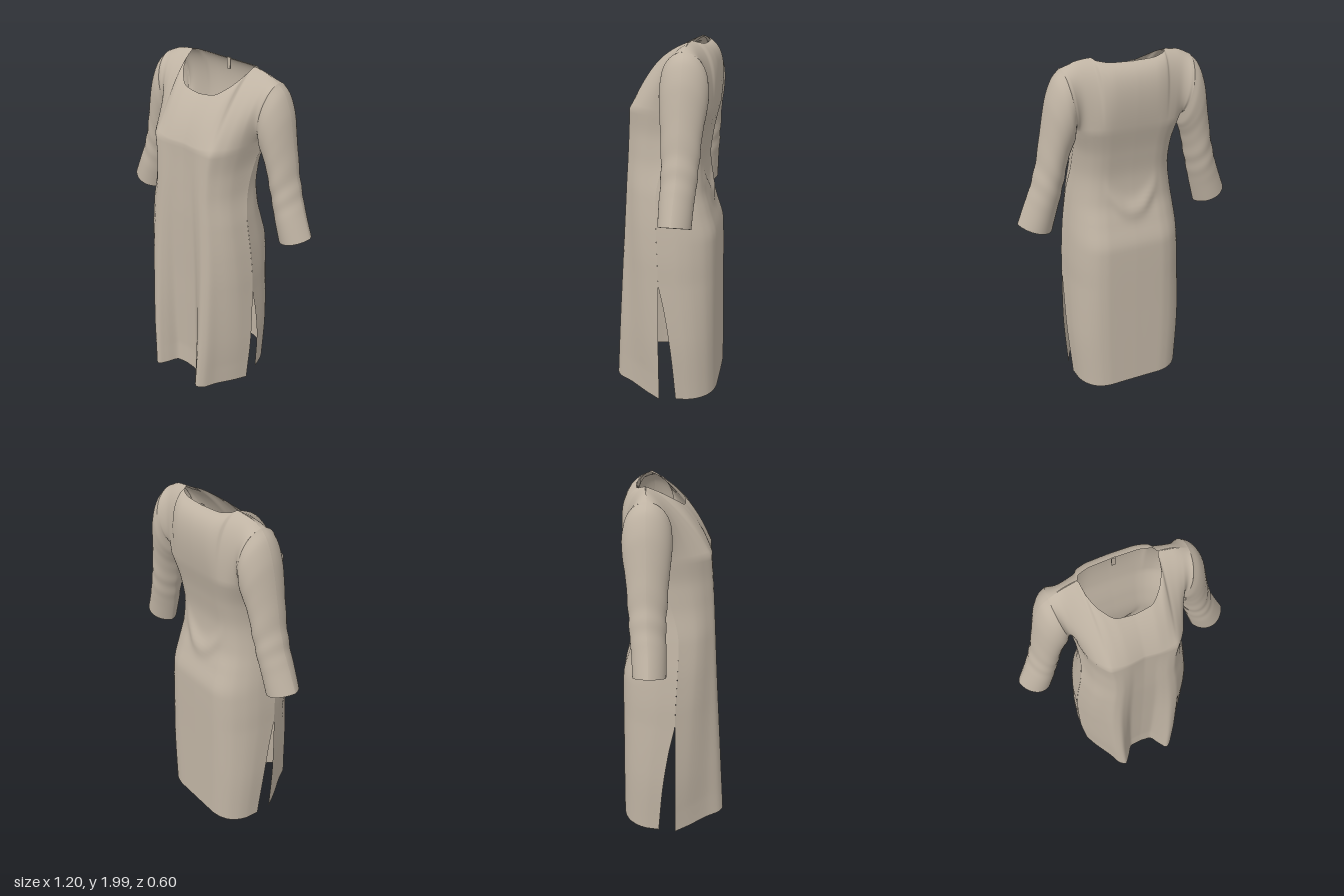
import * as THREE from 'three';

const fabric = new THREE.MeshStandardMaterial({ color: 0xbfb3a3, side: THREE.DoubleSide });
fabric.name = 'beige fabric';

// Smooth, overshoot-free interpolation through [key, value] pairs
function spline(keys) {
  const n = keys.length;
  const d = keys.slice(1).map((k, i) => (k[1] - keys[i][1]) / (k[0] - keys[i][0]));
  const m = keys.map((k, i) => {
    if (i === 0) return d[0];
    if (i === n - 1) return d[n - 2];
    return d[i - 1] * d[i] <= 0 ? 0 : (2 * d[i - 1] * d[i]) / (d[i - 1] + d[i]);
  });
  return (x) => {
    if (x <= keys[0][0]) return keys[0][1];
    if (x >= keys[n - 1][0]) return keys[n - 1][1];
    let i = 0;
    while (x > keys[i + 1][0]) i++;
    const h = keys[i + 1][0] - keys[i][0], t = (x - keys[i][0]) / h, s = 1 - t;
    return (1 + 2 * t) * s * s * keys[i][1] + t * s * s * h * m[i]
      + t * t * (3 - 2 * t) * keys[i + 1][1] - t * t * s * h * m[i + 1];
  };
}

// Surface from point(u, v), u and v running 0..1
function surface(name, point, nu, nv, flip = false) {
  const pos = [], index = [];
  for (let j = 0; j <= nv; j++)
    for (let i = 0; i <= nu; i++) pos.push(...point(i / nu, j / nv));
  for (let j = 0; j < nv; j++)
    for (let i = 0; i < nu; i++) {
      const a = j * (nu + 1) + i, b = a + 1, c = a + nu + 1, d = c + 1;
      if (flip) index.push(a, d, b, a, c, d);
      else index.push(a, b, d, a, d, c);
    }
  const g = new THREE.BufferGeometry();
  g.setAttribute('position', new THREE.Float32BufferAttribute(pos, 3));
  g.setIndex(index);
  g.computeVertexNormals();
  const mesh = new THREE.Mesh(g, fabric);
  mesh.name = name;
  return mesh;
}

const BUST = 1.65;
const { smoothstep, lerp } = THREE.MathUtils;

// Armhole ring shared by body and sleeves
const ARM = { topX: 0.335, topY: 1.955, lowX: 0.285, lowY: BUST, z: -0.12, depth: 0.118 };

// Outlines by height
const halfWidth = spline([[0, 0.33], [0.4, 0.348], [0.8, 0.34], [1, 0.325], [1.2, 0.298], [1.4, 0.268], [1.5, 0.266], [BUST, ARM.lowX]]);
const frontZ = spline([[0, 0.3], [0.5, 0.268], [1, 0.237], [1.4, 0.215], [BUST, 0.198]]);
const backZ = spline([[0, -0.3], [0.5, -0.29], [0.95, -0.28], [1.1, -0.24], [1.22, -0.208], [1.35, -0.2], [1.5, -0.218], [BUST, -0.25]]);
const frontSeam = spline([[0, 0.012], [0.7, 0.012], [1.2, 0.03], [1.4, -0.01], [BUST, ARM.z]]);
const slitGap = spline([[0, 0.095], [0.3, 0.07], [0.55, 0.035], [0.72, 0]]);

// Depth across the width: folded skirt, rounded bust, rounded back
const skirtFolds = spline([[0, 0.63], [0.2, 0.65], [0.35, 0.87], [0.46, 1], [0.57, 0.92], [0.68, 0.67], [0.88, 0.28], [1, 0]]);
const bustShape = spline([[0, 0.97], [0.35, 1], [0.58, 0.99], [0.75, 0.84], [0.88, 0.6], [1, 0]]);
const backShape = spline([[0, 1], [0.45, 0.99], [0.6, 0.95], [0.75, 0.84], [0.88, 0.63], [0.96, 0.37], [1, 0]]);

// Neckline and shoulder line
const topX = spline([[0, 0], [0.25, 0.08], [0.45, 0.14], [0.56, 0.178], [0.62, 0.19], [0.8, 0.26], [1, ARM.topX]]);
const frontTopY = spline([[0, 1.875], [0.25, 1.887], [0.45, 1.925], [0.56, 1.97], [0.62, 1.997], [0.8, 1.988], [1, ARM.topY]]);
const frontTopZ = spline([[0, 0.058], [0.25, 0.052], [0.45, 0.005], [0.56, -0.07], [0.62, -0.135], [1, ARM.z]]);
const backTopY = spline([[0, 1.975], [0.35, 1.978], [0.56, 1.99], [0.62, 1.997], [0.8, 1.988], [1, ARM.topY]]);
const backTopZ = spline([[0, -0.19], [0.35, -0.185], [0.56, -0.16], [0.62, -0.135], [1, ARM.z]]);

function frontBelow(u, y) {
  const seam = frontSeam(y);
  const f = lerp(bustShape(u), skirtFolds(u), Math.min(1, (BUST - y) / 1.5));
  const hem = 0.005 + 0.062 * (1 - u * u);
  return [halfWidth(y) * u, y + hem * (1 - y / BUST), seam + (frontZ(y) - seam) * f];
}

function backBelow(u, y) {
  const seam = frontSeam(y) - slitGap(y);
  const hem = 0.018 + 0.015 * (1 - u * u);
  // gathered cloth hanging in a V over the small of the back
  const v = y - 1.17 - 0.5 * u * u;
  const gather = 0.02 * Math.exp(-((v / 0.05) ** 2)) * (1 - smoothstep(u, 0.2, 0.6));
  return [halfWidth(y) * u, y + hem * (1 - y / BUST), seam + (backZ(y) - seam) * backShape(u) - gather];
}

// Lower rows follow the outlines; upper rows bend from the bust line to the
// neckline, and their outer edge runs along the armhole
function panel(name, below, topY, topZ, isBack) {
  const split = 0.72;
  const bend = (u, t) => {
    const a = below(u, BUST), b = [topX(u), topY(u), topZ(u)];
    const w = smoothstep(u, 0.3, 0.62);
    const rise = isBack ? 0.13 : lerp(0.03, 0.125, w);
    const push = isBack ? -0.08 * (1 - u ** 4) : lerp(0.015, -0.03, w);
    const c = [(a[0] + b[0]) / 2, (a[1] + b[1]) / 2 + rise, (a[2] + b[2]) / 2 + push];
    return a.map((q, i) => (1 - t) ** 2 * q + 2 * t * (1 - t) * c[i] + t * t * b[i]);
  };
  const armhole = (t) => {
    const k = (1 - Math.cos(Math.PI * t)) / 2, dz = ARM.depth * Math.sin(Math.PI * t);
    return [lerp(ARM.lowX, ARM.topX, k), lerp(ARM.lowY, ARM.topY, k), ARM.z + (isBack ? -dz : dz)];
  };
  const point = (s, v) => {
    const k = 2 * s - 1, side = Math.sign(k), u = Math.sin(Math.abs(k) * Math.PI / 2);
    let p;
    if (v <= split) p = below(u, (v / split) * BUST);
    else {
      const t = (v - split) / (1 - split), edge = armhole(t), plain = bend(1, t);
      p = bend(u, t).map((q, i) => q + u ** 10 * (edge[i] - plain[i]));
    }
    return [side * p[0], p[1], p[2]];
  };
  return surface(name, point, 112, 100, isBack);
}

// Sleeve rings: outer x, y, inner x, y, centre z, half depth
const rings = [
  [ARM.topX, ARM.topY, ARM.lowX, ARM.lowY, ARM.z, ARM.depth],
  [0.375, 1.915, 0.288, 1.595, -0.122, 0.123],
  [0.415, 1.825, 0.3, 1.56, -0.122, 0.118],
  [0.443, 1.7, 0.318, 1.51, -0.12, 0.107],
  [0.483, 1.5, 0.34, 1.41, -0.12, 0.096],
  [0.52, 1.37, 0.365, 1.3, -0.118, 0.09],
  [0.56, 1.265, 0.392, 1.195, -0.112, 0.087],
  [0.602, 1.16, 0.42, 1.09, -0.11, 0.084],
];
const ringAt = rings[0].map((_, c) => spline(rings.map((r, i) => [i / (rings.length - 1), r[c]])));

function sleeve(name, side) {
  const point = (u, v) => {
    const [ox, oy, ix, iy, cz, rz] = ringAt.map((f) => f(v));
    const a = u * Math.PI * 2, sin = Math.sin(a);
    // soft creases around the elbow, flatter cross-section towards the cuff
    const crease = 1 + 0.025 * Math.sin(v * 48 + 2 * Math.cos(a)) * Math.exp(-(((v - 0.62) / 0.14) ** 2));
    const k = (Math.cos(a) * crease + 1) / 2;
    return [side * lerp(ix, ox, k), lerp(iy, oy, k), cz + rz * crease * sin * Math.abs(sin) ** (0.35 * v)];
  };
  return surface(name, point, 48, 56, side < 0);
}

export function createModel() {
  const dress = new THREE.Group();
  dress.name = 'tunicDress';
  dress.add(
    panel('frontPanel', frontBelow, frontTopY, frontTopZ, false),
    panel('backPanel', backBelow, backTopY, backTopZ, true),
    sleeve('leftSleeve', 1),
    sleeve('rightSleeve', -1),
  );
  // small loop inside the back of the neck
  const loop = new THREE.Mesh(new THREE.BoxGeometry(0.02, 0.06, 0.006), fabric);
  loop.name = 'neckLoop';
  loop.position.set(0, 1.95, -0.188);
  dress.add(loop);
  return dress;
}
